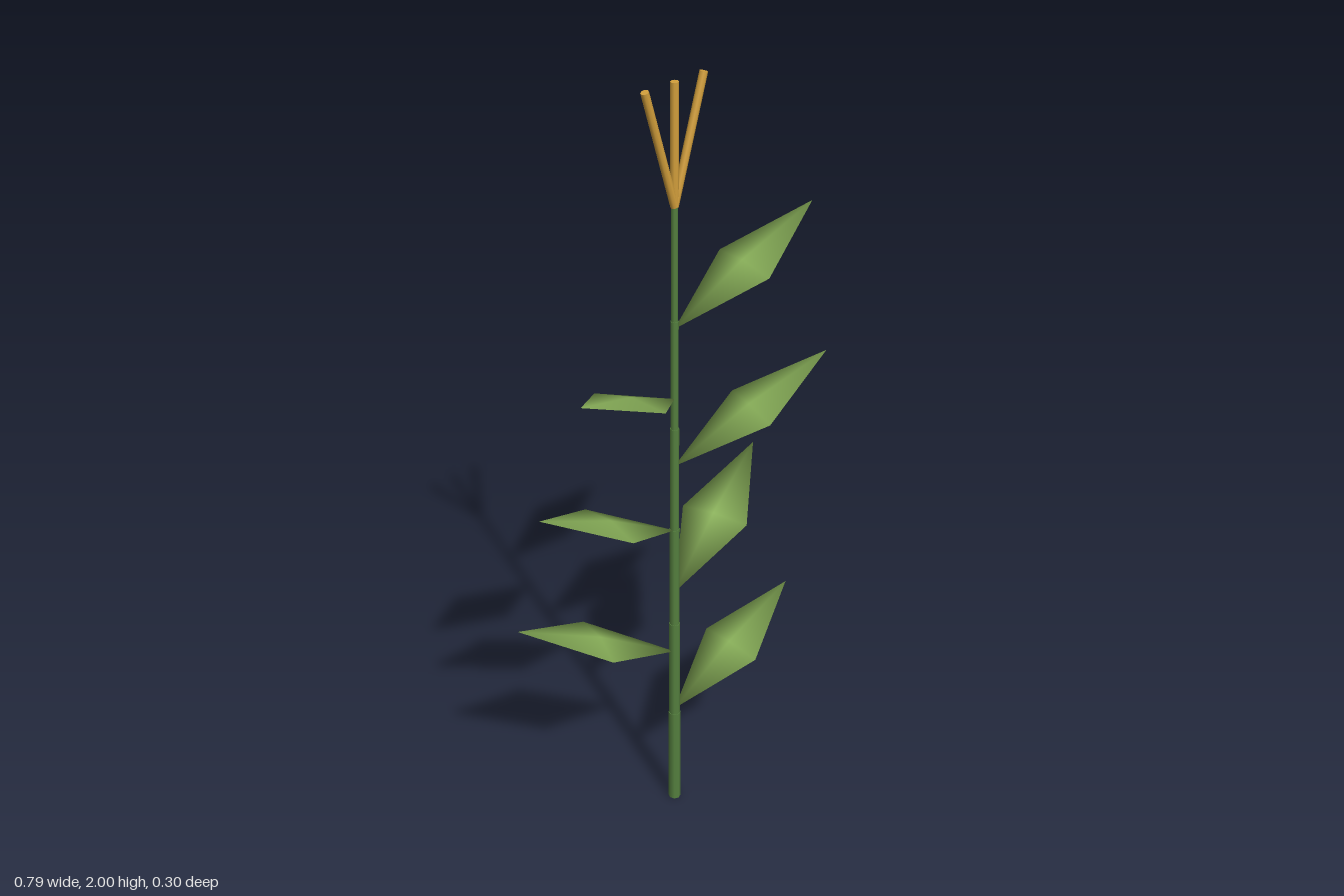
import * as THREE from 'three';

const mat = (name, color) => {
  const m = new THREE.MeshStandardMaterial({ color });
  m.name = name;
  return m;
};

export function createModel() {
  const root = new THREE.Group();
  root.name = 'cornPlant';
  const stemGreen = mat('stem green', 0x55803f);
  const leafGreen = mat('leaf green', 0x8db55c);
  const gold = mat('tassel gold', 0xd4a03c);

  const add = (name, geometry, material) => {
    const mesh = new THREE.Mesh(geometry, material);
    mesh.name = name;
    root.add(mesh);
    return mesh;
  };

  // Stalk: stacked segments, each a little thinner than the one below
  const segment = 0.285;
  for (let i = 0; i < 6; i++) {
    const r = 0.0155 - i * 0.0015;
    add('stalkSegment', new THREE.CylinderGeometry(r, r, segment, 8), stemGreen)
      .position.y = segment * (i + 0.5);
  }

  // Leaves: soft diamonds, alternating sides; each entry is the z of the tip
  const diamond = new THREE.SphereGeometry(1, 4, 2).rotateZ(-Math.PI / 2);
  const reach = 0.397, rise = 0.203;
  [0, -0.122, -0.131, -0.022, 0.105, 0.135, 0.04].forEach((tipZ, i) => {
    const tipX = i % 2 ? -reach : reach;
    const run = Math.hypot(tipX, tipZ);
    const leaf = add('leaf', diamond, leafGreen);
    leaf.scale.set(Math.hypot(run, rise) / 2, 0.014, 0.09);
    leaf.rotation.set(0, Math.atan2(-tipZ, tipX), Math.atan2(rise, run), 'YXZ');
    leaf.position.set(tipX / 2, 0.295 + i * 0.185 + rise / 2, tipZ / 2);
  });

  // Tassel: three thin rods fanning out from the top of the stalk
  for (const side of [-1, 0, 1]) {
    const dx = side * 0.085, dy = 0.289;
    const rod = add('tasselRod', new THREE.CylinderGeometry(0.0095, 0.0095, Math.hypot(dx, dy), 8), gold);
    rod.position.set(dx / 2, 1.71 + dy / 2, 0);
    rod.rotation.z = -Math.atan2(dx, dy);
  }

  return root;
}
